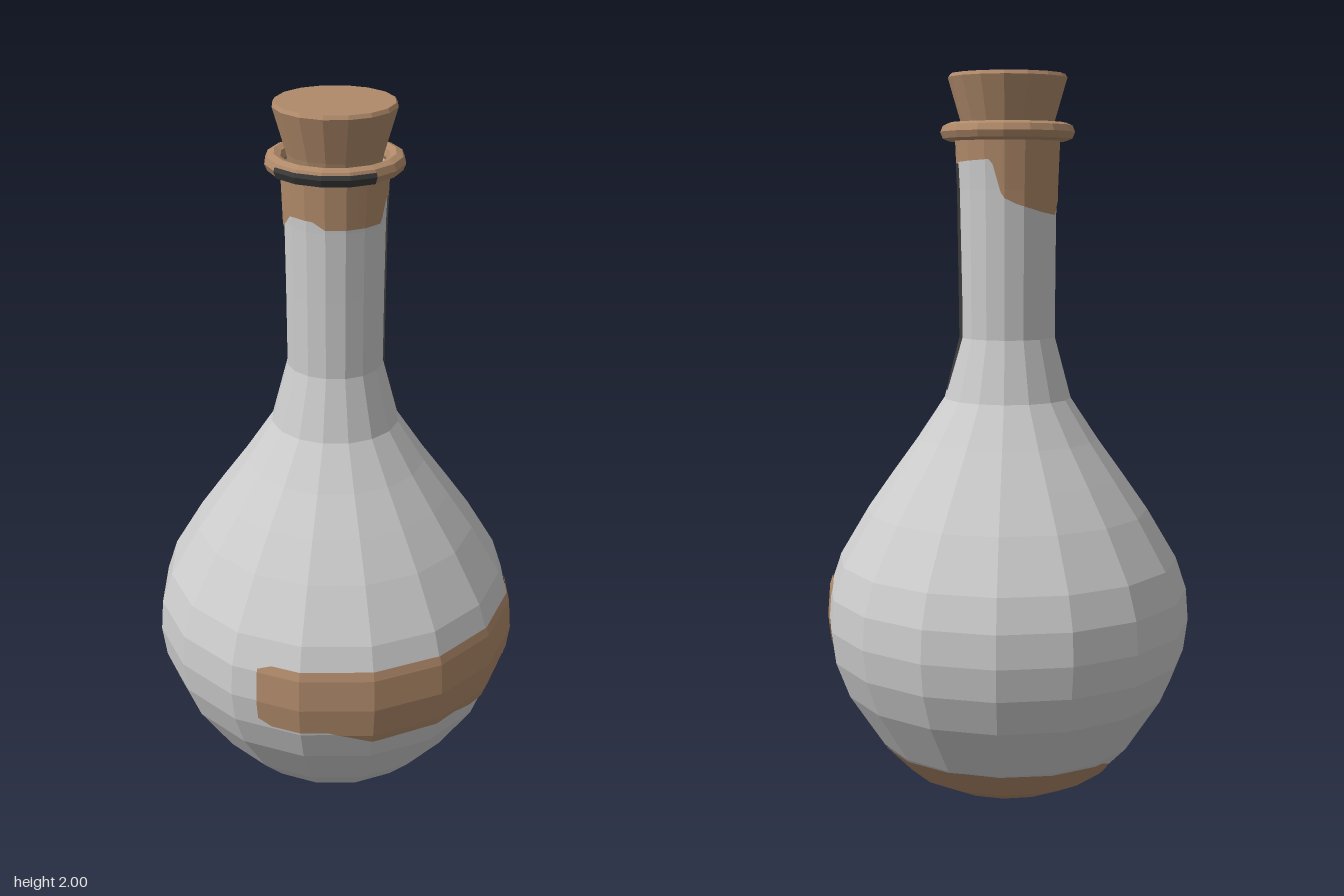
import * as THREE from 'three';

const SIDES = 16;
const STEP = (Math.PI * 2) / SIDES;
const rad = THREE.MathUtils.degToRad;
const { clamp, lerp } = THREE.MathUtils;

// Flask outline as [radius, height]
const OUTLINE = [
  [0.2, 0.012], [0.285, 0.055], [0.367, 0.14], [0.465, 0.29], [0.503, 0.39], [0.515, 0.48],
  [0.508, 0.57], [0.478, 0.66], [0.395, 0.8], [0.325, 0.9], [0.253, 1.0], [0.177, 1.115],
  [0.132, 1.285], [0.133, 1.5], [0.135, 1.69], [0.14, 1.82], [0.14, 1.85],
];

// Piecewise linear lookup through [x, value] pairs
function along(pairs, x) {
  if (x <= pairs[0][0]) return pairs[0][1];
  for (let i = 1; i < pairs.length; i++) {
    const [x0, v0] = pairs[i - 1];
    const [x1, v1] = pairs[i];
    if (x <= x1) return lerp(v0, v1, (x - x0) / (x1 - x0));
  }
  return pairs[pairs.length - 1][1];
}

// Point on the faceted flask wall; az in degrees from +z towards +x
const heights = OUTLINE.map(([r, y]) => [y, r]);
function wallPoint(az, y, lift) {
  const a = rad(az);
  const inFacet = a - Math.floor(a / STEP + 1e-9) * STEP - STEP / 2;
  const r = (along(heights, y) * Math.cos(STEP / 2)) / Math.cos(inFacet) + lift;
  return [Math.sin(a) * r, y, Math.cos(a) * r];
}

// Thin painted patch following the facets; limit() trims each grid point to the outline
function wallPatch(azFrom, azTo, yFrom, yTo, limit, lift = 0.004) {
  const cols = [];
  for (let a = azFrom; a < azTo; a += 4.5) cols.push(a);
  for (let a = Math.ceil(azFrom / 22.5) * 22.5; a < azTo; a += 22.5) cols.push(a);
  cols.push(azTo);
  cols.sort((a, b) => a - b);
  const rows = OUTLINE.map((p) => p[1]).filter((y) => y > yFrom && y < yTo);
  for (let i = 0; i <= 12; i++) rows.push(lerp(yFrom, yTo, i / 12));
  rows.sort((a, b) => a - b);

  const pos = [];
  const index = [];
  cols.forEach((az, i) => rows.forEach((y, j) => {
    pos.push(...wallPoint(...limit(az, y), lift));
    if (i === 0 || j === 0) return;
    const d = i * rows.length + j;
    const a = d - rows.length - 1;
    index.push(a, d - 1, a + 1, d - 1, d, a + 1);
  }));
  const geo = new THREE.BufferGeometry();
  geo.setAttribute('position', new THREE.Float32BufferAttribute(pos, 3));
  geo.setIndex(index);
  geo.computeVertexNormals();
  return geo;
}

function lathe(points, segments = SIDES, start = 0, length = Math.PI * 2) {
  return new THREE.LatheGeometry(points.map(([r, y]) => new THREE.Vector2(r, y)), segments, start, length);
}

export function createModel() {
  const group = new THREE.Group();
  const material = (name, color) => {
    const m = new THREE.MeshStandardMaterial({ color, flatShading: true, side: THREE.DoubleSide });
    m.name = name;
    return m;
  };
  const glass = material('paleGrey', 0xcccccc);
  const cork = material('corkBrown', 0xb08a6a);
  const dark = material('charcoal', 0x3a3a3a);
  const add = (name, geometry, mat) => {
    const mesh = new THREE.Mesh(geometry, mat);
    mesh.name = name;
    group.add(mesh);
  };

  // Body and neck
  add('flaskBody', lathe(OUTLINE), glass);

  // Foot: dark rim round a brown underside
  add('footRim', lathe([[0.165, 0], [0.2, 0.012]]), dark);
  add('underside', new THREE.CircleGeometry(0.165, SIDES).rotateX(Math.PI / 2), cork);

  // Front label with a ragged lower edge
  const labelLow = [[-59, 0.42], [-56, 0.4], [-36, 0.4], [-22, 0.36], [-8, 0.365], [10, 0.37],
    [16, 0.35], [22, 0.36], [27, 0.39], [42, 0.41], [56, 0.41], [59, 0.43]];
  const labelHigh = [[-59, 0.58], [-56, 0.595], [56, 0.595], [59, 0.58]];
  add('label', wallPatch(-59, 59, 0.35, 0.6,
    (az, y) => [az, clamp(y, along(labelLow, az), along(labelHigh, az))]), cork);

  // Stain round the foot
  const stainHigh = [[62, 0.06], [66, 0.13], [120, 0.138], [185, 0.13], [198, 0.1], [207, 0.05]];
  add('footStain', wallPatch(62, 207, 0.012, 0.14,
    (az, y) => [az, Math.min(y, along(stainHigh, az))]), cork);
  add('smallFootStain', wallPatch(0, 20, 0.012, 0.05, (az, y) => [az, y]), cork);

  // Brown collar under the lip, hanging lower at the front and back
  const collarLow = [[-180, 1.63], [-150, 1.62], [-135, 1.66], [-105, 1.69], [-90, 1.72], [-60, 1.72],
    [-45, 1.7], [25, 1.7], [38, 1.76], [120, 1.77], [132, 1.67], [150, 1.65], [180, 1.63]];
  add('neckCollar', wallPatch(-180, 180, 1.62, 1.85,
    (az, y) => [az, Math.max(y, along(collarLow, az))]), cork);

  // Dark streak running down the neck
  const streakFrom = [[1.14, 57], [1.18, 55], [1.33, 53], [1.5, 48], [1.76, 47]];
  const streakTo = [[1.14, 65], [1.18, 68], [1.33, 73], [1.5, 71], [1.76, 69]];
  add('neckStreak', wallPatch(46, 74, 1.14, 1.76,
    (az, y) => [clamp(az, along(streakFrom, y), along(streakTo, y)), y], 0.005), dark);

  // Rolled lip
  const ring = [];
  for (let i = 0; i <= 8; i++) {
    const t = -Math.PI + (i * Math.PI) / 4;
    ring.push([0.16 + 0.025 * Math.cos(t), 1.845 + 0.025 * Math.sin(t)]);
  }
  add('lipRing', lathe(ring), cork);
  add('lipMark', lathe([[0.18, 1.826], [0.188, 1.845], [0.184, 1.856]], 4, -Math.PI / 2, Math.PI / 2), dark);

  // Tapered stopper
  add('stopper', lathe([[0, 1.84], [0.122, 1.84], [0.128, 1.87], [0.163, 1.99], [0.157, 2], [0, 2]]), cork);

  return group;
}
